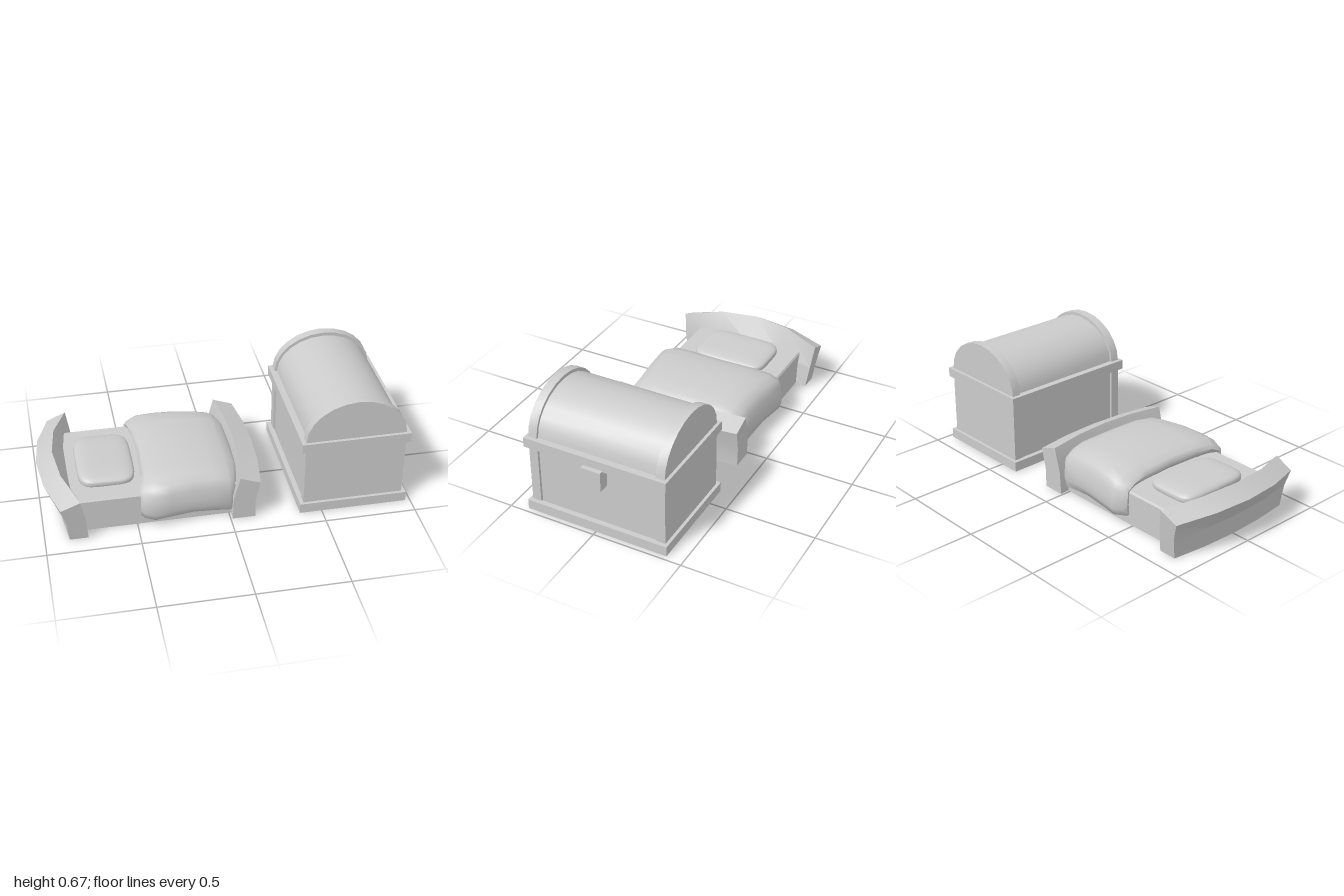
import * as THREE from 'three';
import { toCreasedNormals } from 'three/addons/utils/BufferGeometryUtils.js';

const material = new THREE.MeshStandardMaterial({ color: 0xcccccc, side: THREE.DoubleSide });

function add(parent, name, geometry, x = 0, y = 0, z = 0) {
  const mesh = new THREE.Mesh(geometry, material);
  mesh.name = name;
  mesh.position.set(x, y, z);
  parent.add(mesh);
  return mesh;
}

// Box given by its limits on each axis
function box(parent, name, [x0, x1], [y0, y1], [z0, z1]) {
  return add(parent, name, new THREE.BoxGeometry(x1 - x0, y1 - y0, z1 - z0),
    (x0 + x1) / 2, (y0 + y1) / 2, (z0 + z1) / 2);
}

// Skin over closed loops of [x, y, z] points, with optional end caps;
// the strip that starts at point number "open" is left out
function loft(loops, crease, caps, open = -1) {
  const n = loops[0].length, pos = loops.flat(2), index = [];
  for (let i = 0; i < loops.length - 1; i++) {
    for (let j = 0; j < n; j++) {
      if (j === open) continue;
      const k = (j + 1) % n, a = i * n, b = a + n;
      index.push(a + j, a + k, b + k, a + j, b + k, b + j);
    }
  }
  if (caps) {
    [0, loops.length - 1].forEach((row, end) => {
      const c = pos.length / 3;
      for (let d = 0; d < 3; d++) pos.push(loops[row].reduce((s, p) => s + p[d], 0) / n);
      for (let j = 0; j < n; j++) {
        const p = row * n + j, q = row * n + (j + 1) % n;
        index.push(c, ...(end ? [p, q] : [q, p]));
      }
    });
  }
  const g = new THREE.BufferGeometry();
  g.setAttribute('position', new THREE.Float32BufferAttribute(pos, 3));
  g.setIndex(index);
  return toCreasedNormals(g, crease);
}

// Bowed, outward-leaning board, open below: end profile blends to the middle one
function board(endProfile, midProfile, zBottom, zTop) {
  const loops = [], steps = 4;
  for (let i = 0; i <= steps; i++) {
    const u = (i / steps) * 2 - 1, t = 1 - u * u;
    loops.push(endProfile.map(([x, y], j) => [
      x + (midProfile[j][0] - x) * t,
      y + (midProfile[j][1] - y) * t,
      u * (zBottom + (zTop - zBottom) * Math.min(1, y / 0.24)),
    ]));
  }
  return loft(loops, 0.35, true, 0);
}

// Thick cover that drapes over the mattress, with rounded ends
function blanketGeometry() {
  // x, fullness, half width, top height, hem height
  const stations = [
    [-0.455, 0, 0.365, 0.24, 0.07], [-0.478, 0.4, 0.366, 0.246, 0.062],
    [-0.485, 0.75, 0.368, 0.252, 0.055], [-0.465, 0.95, 0.378, 0.26, 0.048],
    [-0.41, 1, 0.397, 0.272, 0.042], [-0.32, 1, 0.387, 0.284, 0.046],
    [-0.2, 1, 0.375, 0.288, 0.05], [-0.08, 1, 0.364, 0.28, 0.042],
    [0.0, 1, 0.36, 0.265, 0.033], [0.045, 0.85, 0.36, 0.255, 0.035],
    [0.07, 0.5, 0.36, 0.245, 0.04], [0.08, 0, 0.36, 0.24, 0.05],
  ];
  const loops = stations.map(([x, f, w, top, hem]) => {
    // half outline from hem to centre: outer surface and the underside
    const outer = [[0.345, hem], [w - 0.012, hem + 0.012], [w, hem + 0.05], [w - 0.004, 0.14],
      [w - 0.012, 0.2], [w - 0.035, top - 0.04], [w - 0.08, top - 0.016], [0.2, top - 0.004], [0, top]];
    const inner = [[0.31, hem + 0.01], [0.31, hem + 0.02], [0.31, hem + 0.05], [0.31, 0.13],
      [0.31, 0.165], [0.305, 0.185], [0.28, 0.187], [0.18, 0.187], [0, 0.187]];
    const bow = (z) => x < -0.25
      ? 0.035 * (1 - (z / 0.38) ** 2) * Math.min(1, (-0.25 - x) / 0.2)
      : x > 0 ? -0.7 * x * Math.max(0, z - 0.2) / 0.18 : 0;
    const point = (z, y, s) => [x + bow(Math.abs(z)), y, s * z];
    const skin = outer.map(([z, y], j) => [inner[j][0] + (z - inner[j][0]) * f, inner[j][1] + (y - inner[j][1]) * f]);
    const across = (half) => [
      ...half.map(([z, y]) => point(z, y, -1)),
      ...half.slice(0, -1).reverse().map(([z, y]) => point(z, y, 1)),
    ];
    return [...across(skin), ...across(inner).reverse()];
  });
  return loft(loops, 1.1, false);
}

// Cushion: a sphere squared off in plan and section, thinner towards the blanket
// and sunk a little into the mattress
function pillowGeometry() {
  const g = new THREE.SphereGeometry(1, 40, 24);
  const p = g.attributes.position;
  const square = (v, e) => Math.sign(v) * Math.abs(v) ** e;
  for (let i = 0; i < p.count; i++) {
    const y = p.getY(i), r = Math.hypot(p.getX(i), p.getZ(i)) || 1e-6;
    const spread = r ** 0.55;
    const x = square(p.getX(i) / r, 0.42) * spread;
    const z = square(p.getZ(i) / r, 0.42) * spread;
    p.setXYZ(i, x * 0.155, square(y, 0.7) * (y > 0 ? 0.037 - 0.006 * x : 0.04), z * 0.222);
  }
  g.computeVertexNormals();
  return g;
}

function dome(parent, name, rx, ry, z0, z1) {
  const shape = new THREE.Shape();
  shape.absellipse(0, 0, rx, ry, 0, Math.PI, false, 0);
  shape.closePath();
  const g = new THREE.ExtrudeGeometry(shape, { depth: z1 - z0, bevelEnabled: false, curveSegments: 6 });
  return add(parent, name, toCreasedNormals(g, 0.5), 0.676, 0.445, z0);
}

function createBed() {
  const bed = new THREE.Group();
  bed.name = 'bed';
  add(bed, 'headboard', board(
    [[-0.87, 0], [-0.77, 0], [-0.78, 0.13], [-0.802, 0.26], [-0.908, 0.215], [-0.88, 0.12]],
    [[-0.9, 0], [-0.8, 0], [-0.82, 0.14], [-0.91, 0.3], [-1.0, 0.24], [-0.91, 0.11]], 0.395, 0.43));
  add(bed, 'footboard', board(
    [[0.01, 0], [0.135, 0], [0.135, 0.11], [0.16, 0.225], [0.05, 0.265], [0.015, 0.13]],
    [[0.03, 0], [0.153, 0], [0.158, 0.1], [0.195, 0.227], [0.085, 0.275], [0.04, 0.13]], 0.385, 0.39));
  // mattress with a small chamfer along its upper edges, hollow below
  const half = [[0.33, 0], [0.33, 0.182], [0.322, 0.192]];
  const ring = (x) => [...half.map(([z, y]) => [x, y, -z]), ...half.slice().reverse().map(([z, y]) => [x, y, z])];
  add(bed, 'mattress', loft([ring(-0.84), ring(0.06)], 0.3, true, 5));
  add(bed, 'pillow', pillowGeometry(), -0.635, 0.205, 0);
  add(bed, 'blanket', blanketGeometry());
  return bed;
}

function createChest() {
  const chest = new THREE.Group();
  chest.name = 'chest';
  // plinth frame around a recessed floor
  for (const s of [-1, 1]) {
    const xs = s < 0 ? [0.378, 0.405] : [0.945, 0.974];
    box(chest, 'plinthSide', xs, [0, 0.056], [-0.407, 0.407]);
    box(chest, 'plinthEnd', [0.405, 0.945], [0, 0.056], s < 0 ? [-0.407, -0.38] : [0.38, 0.407]);
    const zs = s < 0 ? [-0.39, -0.34] : [0.34, 0.39];
    box(chest, 'endPanel', [0.4, 0.952], [0.02, 0.4], zs);
    dome(chest, 'lidEnd', 0.276, 0.225, ...zs);
  }
  box(chest, 'body', [0.415, 0.937], [0.02, 0.4], [-0.34, 0.34]);
  box(chest, 'lidBand', [0.378, 0.974], [0.393, 0.447], [-0.407, 0.407]);
  dome(chest, 'lid', 0.262, 0.206, -0.34, 0.34);
  box(chest, 'latch', [0.93, 1.0], [0.29, 0.4], [-0.056, 0.056]);
  return chest;
}

export function createModel() {
  const model = new THREE.Group();
  model.name = 'bedAndChest';
  model.add(createBed(), createChest());
  return model;
}
